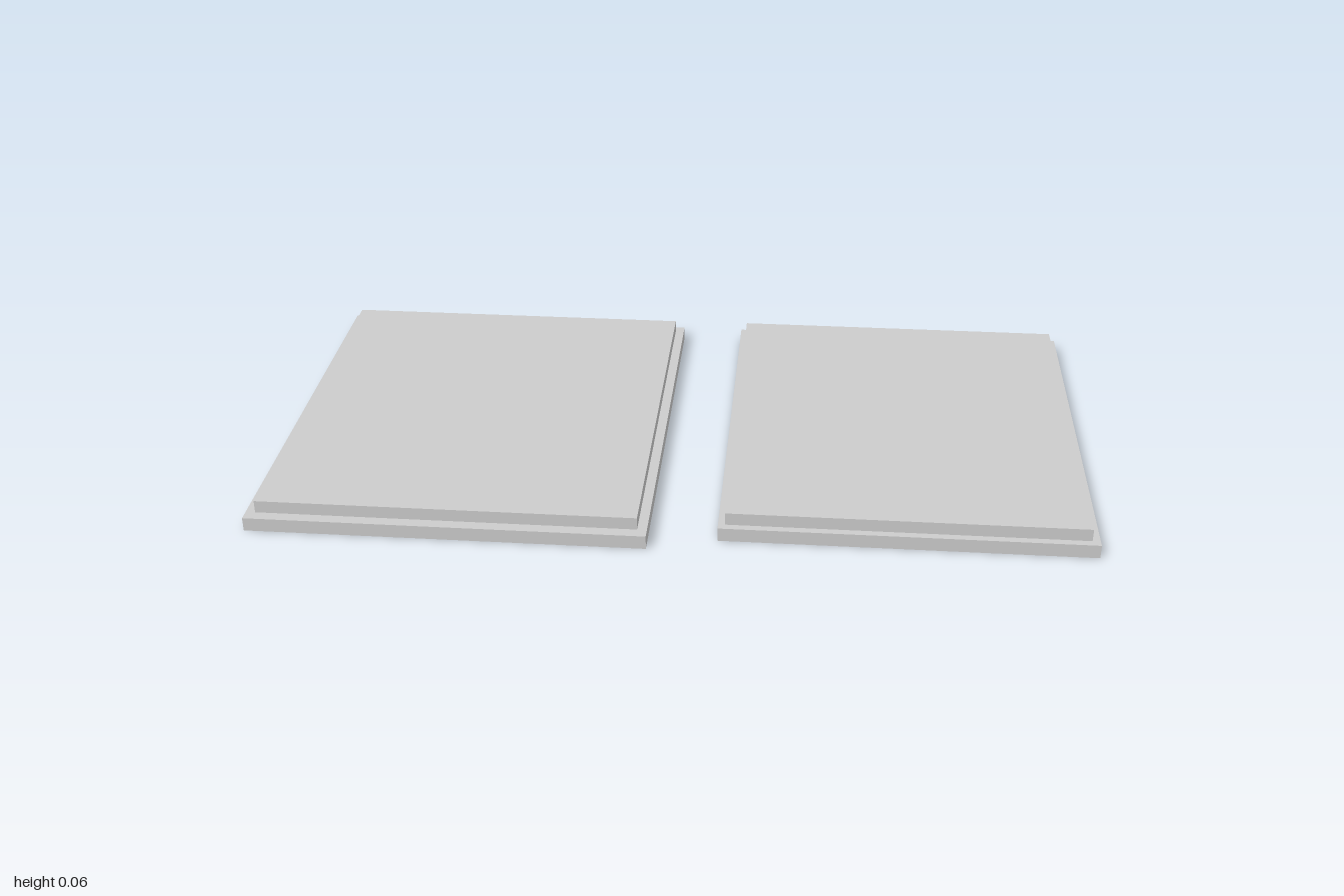
import * as THREE from 'three';

const material = new THREE.MeshStandardMaterial({ color: 0xcccccc, flatShading: true });

// Box given by its limits on each axis
function slab(name, [x0, x1], [y0, y1], [z0, z1]) {
  const mesh = new THREE.Mesh(new THREE.BoxGeometry(x1 - x0, y1 - y0, z1 - z0), material);
  mesh.position.set((x0 + x1) / 2, (y0 + y1) / 2, (z0 + z1) / 2);
  mesh.name = name;
  return mesh;
}

// Stepped tile: a wide base with a slightly smaller plate on top
function tile(name, baseX, baseZ, plateX, plateZ) {
  const group = new THREE.Group();
  group.name = name;
  group.add(
    slab('base', baseX, [0, 0.034], baseZ),
    slab('topPlate', plateX, [0.034, 0.065], plateZ)
  );
  return group;
}

export function createModel() {
  const model = new THREE.Group();
  model.name = 'steppedTiles';
  model.add(
    tile('rightTile', [-1, -0.046], [-0.545, 0.545], [-0.977, -0.069], [-0.521, 0.517]),
    tile('leftTile', [0.117, 1], [-0.545, 0.497], [0.133, 0.981], [-0.525, 0.479])
  );
  return model;
}
